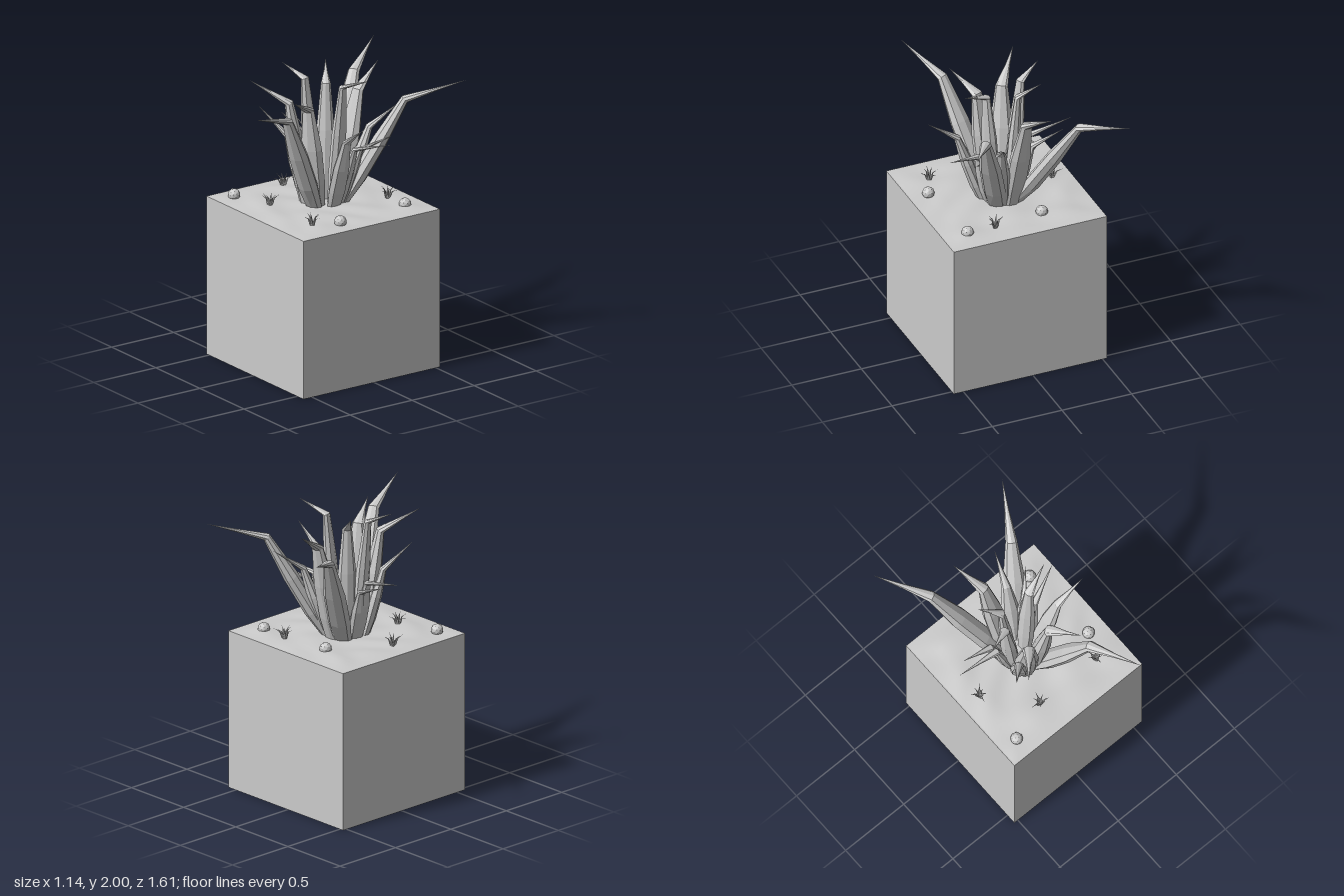
import * as THREE from 'three';

const grey = new THREE.MeshStandardMaterial({ color: 0xcccccc, flatShading: true });
const smooth = new THREE.MeshStandardMaterial({ color: 0xcccccc, side: THREE.DoubleSide });
const TOP = 1.1;

// Faceted spike: root -> bend -> tip, swelling below the bend and tapering to a point
function spike(a, b, c, width, sides = 8) {
  const centres = [a, a.clone().lerp(b, 0.25), a.clone().lerp(b, 0.6), b, b.clone().lerp(c, 0.5), c];
  const radii = [0.75, 0.95, 0.92, 0.5, 0.2, 0.004].map((r) => r * width);
  const out = c.clone().sub(a).setY(0).normalize();
  const side = new THREE.Vector3(0, 1, 0).cross(out).normalize();
  const pos = [], index = [];
  centres.forEach((p, i) => {
    const t = centres[Math.min(i + 1, 5)].clone().sub(centres[Math.max(i - 1, 0)]).normalize();
    const n = t.cross(side).normalize();
    for (let j = 0; j < sides; j++) {
      const ang = (j / sides) * Math.PI * 2;
      const q = p.clone().addScaledVector(side, Math.cos(ang) * radii[i])
        .addScaledVector(n, Math.sin(ang) * radii[i] * 0.7);
      if (i === 0) q.y = a.y;
      pos.push(q.x, q.y, q.z);
      if (i < 5) {
        const k = (j + 1) % sides, r = i * sides, s = r + sides;
        index.push(r + j, r + k, s + k, r + j, s + k, s + j);
      }
    }
  });
  const g = new THREE.BufferGeometry();
  g.setAttribute('position', new THREE.Float32BufferAttribute(pos, 3));
  g.setIndex(index);
  g.computeVertexNormals();
  return new THREE.Mesh(g, grey);
}

// Leaf rooted on the crown, below and inward of its bend
function leaf(bx, by, bz, tx, ty, tz, width) {
  const bend = new THREE.Vector3(bx, by, bz);
  const reach = Math.hypot(bx, bz);
  const root = bend.clone().multiplyScalar(Math.min(0.13, reach * 0.5) / reach).setY(TOP);
  const mesh = spike(root, bend, new THREE.Vector3(tx, ty, tz), width);
  mesh.name = 'leaf';
  return mesh;
}

export function createModel() {
  const model = new THREE.Group();

  // Cube planter
  const planter = new THREE.Mesh(new THREE.BoxGeometry(1.1, TOP, 1.1), grey);
  planter.name = 'planter';
  planter.position.set(0.02, TOP / 2, 0.02);
  model.add(planter);

  // Gently rippled soil, flat at the rim
  const soilGeo = new THREE.PlaneGeometry(1.08, 1.08, 28, 28).rotateX(-Math.PI / 2);
  const sp = soilGeo.attributes.position;
  for (let i = 0; i < sp.count; i++) {
    const x = sp.getX(i), z = sp.getZ(i);
    const fade = Math.min(1, (0.54 - Math.max(Math.abs(x), Math.abs(z))) / 0.15);
    const bump = Math.sin(x * 13 + 2 * Math.sin(z * 7)) * Math.cos(z * 12 + x * 4);
    sp.setY(i, 0.001 + fade * (0.01 + 0.009 * bump));
  }
  soilGeo.computeVertexNormals();
  const soil = new THREE.Mesh(soilGeo, smooth);
  soil.name = 'soil';
  soil.position.set(0.02, TOP, 0.02);
  model.add(soil);

  // Leaf tiers: each row is a bend point and a tip point
  const plant = new THREE.Group();
  plant.name = 'plant';
  const addTier = (width, rows) => rows.forEach((row) => plant.add(leaf(...row, width)));
  // Long outer leaves
  addTier(0.08, [
    [-0.35, 1.81, -0.49, -0.57, 1.93, -0.81],
    [0.3, 1.81, -0.44, 0.51, 1.93, -0.78],
    [0.22, 1.81, 0.45, 0.36, 1.93, 0.8],
  ]);
  // Broad medium leaves
  addTier(0.085, [
    [-0.05, 1.8, -0.31, -0.13, 1.94, -0.53],
    [-0.1, 1.8, 0.21, -0.27, 1.95, 0.41],
    [0.09, 1.8, 0.19, 0.2, 1.91, 0.38],
  ]);
  // Tall inner and slimmer medium leaves
  addTier(0.065, [
    [-0.16, 1.92, 0.04, -0.32, 2.0, 0.11],
    [-0.09, 1.88, -0.08, -0.22, 2.0, -0.17],
    [0.13, 1.92, -0.06, 0.32, 2.0, -0.13],
    [-0.16, 1.55, 0.18, -0.3, 1.75, 0.32],
    [0.12, 1.6, -0.28, 0.19, 1.75, -0.48],
    [0.3, 1.6, 0.03, 0.51, 1.75, 0.04],
  ]);
  // Low side leaves
  addTier(0.052, [
    [-0.2, 1.51, 0, -0.51, 1.58, -0.01],
    [-0.2, 1.46, -0.06, -0.42, 1.55, -0.08],
    [0.21, 1.5, -0.1, 0.46, 1.58, -0.21],
    [0.18, 1.48, -0.17, 0.32, 1.58, -0.32],
  ]);
  model.add(plant);

  // Small round succulents
  for (const [x, z] of [[0.4, -0.37], [0.44, 0.18], [-0.4, 0.44], [-0.15, -0.33]]) {
    const ball = new THREE.Mesh(new THREE.IcosahedronGeometry(0.042, 1), grey);
    ball.name = 'roundSucculent';
    ball.position.set(x, TOP + 0.022, z);
    ball.rotation.set(x * 3, z * 5, 0);
    model.add(ball);
  }

  // Grass tufts
  [[-0.39, 0.05], [-0.12, 0.35], [0.36, 0.35], [0.2, -0.37]].forEach(([x, z], t) => {
    const tuft = new THREE.Group();
    tuft.name = 'grassTuft';
    for (let i = 0; i < 7; i++) {
      const a = i * 0.9 + t * 1.3, r = 0.035 + 0.045 * ((i * 3) % 7) / 6;
      const at = (d, y) => new THREE.Vector3(Math.cos(a) * d, y, Math.sin(a) * d);
      tuft.add(spike(at(0.006, 0), at(r * 0.45, 0.07 - r * 0.2), at(r, 0.105 - r * 0.4), 0.009, 5));
    }
    tuft.position.set(x, TOP, z);
    model.add(tuft);
  });
  return model;
}
